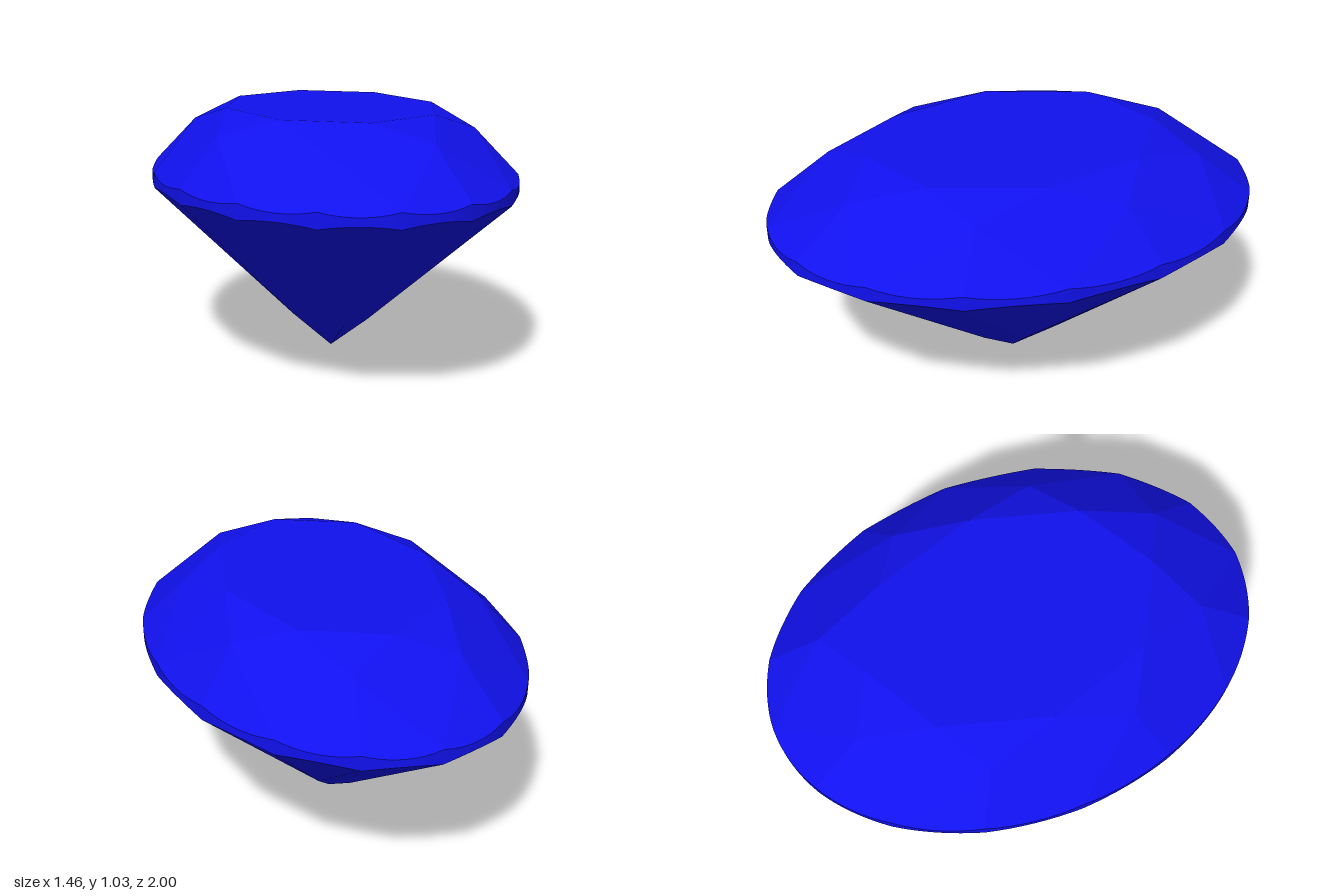
import * as THREE from 'three';

const WIDTH = 0.732;           // x squash of the oval outline
const STEP = Math.PI / 8;      // angle between neighbouring facet corners
const ARC = 8;                 // girdle segments per step
const TABLE = { r: 0.595, y: 1.03 };
const STAR = { r: 0.77, y: 0.957 };
const LOWER = { r: 0.225, y: 0.149 };
const GIRDLE_TOP = 0.777, GIRDLE_BOTTOM = 0.715;

// Point on the oval: k counts facet steps from the front towards +x
const at = (k, r, y) => new THREE.Vector3(WIDTH * r * Math.sin(k * STEP), y, r * Math.cos(k * STEP));

// Girdle curve where a half facet's plane, through its tip, cuts the oval wall
function scallop(k, tip, y) {
  const plane = new THREE.Plane().setFromCoplanarPoints(tip, at(k, 1, y), at(k + 1, 1, y));
  const points = [];
  for (let i = 0; i <= ARC; i++) {
    const p = at(k + i / ARC, 1, 0);
    p.y = -(plane.normal.x * p.x + plane.normal.z * p.z + plane.constant) / plane.normal.y;
    points.push(p);
  }
  return points;
}

// Flat mesh from convex facets, each a counter-clockwise list of points
function facetMesh(name, facets, material) {
  const corners = [];
  for (const f of facets) {
    for (let i = 1; i < f.length - 1; i++) corners.push(f[0], f[i], f[i + 1]);
  }
  const geometry = new THREE.BufferGeometry().setFromPoints(corners);
  geometry.computeVertexNormals();
  const mesh = new THREE.Mesh(geometry, material);
  mesh.name = name;
  return mesh;
}

export function createModel() {
  const group = new THREE.Group();
  group.name = 'ovalGem';
  const faceted = new THREE.MeshStandardMaterial({ color: 0x1111ee, flatShading: true });
  const smooth = new THREE.MeshStandardMaterial({ color: 0x1111ee });

  const table = [], stars = [], bezels = [], upperHalves = [];
  const lowerHalves = [], mains = [], rim = [];
  const culet = new THREE.Vector3(0, 0, 0);

  // Table, star, bezel and pavilion main facets, eight of each
  for (let k = 0; k < 16; k += 2) {
    const corner = at(k, TABLE.r, TABLE.y);
    const star = at(k + 1, STAR.r, STAR.y);
    table.push(corner);
    stars.push([corner, star, at(k + 2, TABLE.r, TABLE.y)]);
    bezels.push([corner, at(k - 1, STAR.r, STAR.y), at(k, 1, GIRDLE_TOP), star]);
    mains.push([culet, at(k + 2, LOWER.r, LOWER.y), at(k + 1, 1, GIRDLE_BOTTOM), at(k, LOWER.r, LOWER.y)]);
  }

  // Half facets, sixteen above and below, with the scalloped girdle between
  for (let k = 0; k < 16; k++) {
    const upperTip = at(k % 2 ? k : k + 1, STAR.r, STAR.y);
    const lowerTip = at(k % 2 ? k + 1 : k, LOWER.r, LOWER.y);
    const top = scallop(k, upperTip, GIRDLE_TOP);
    const bottom = scallop(k, lowerTip, GIRDLE_BOTTOM);
    upperHalves.push([upperTip, ...top]);
    lowerHalves.push([lowerTip, ...bottom.slice().reverse()]);
    for (let i = 0; i < ARC; i++) rim.push([bottom[i], bottom[i + 1], top[i + 1], top[i]]);
  }

  // Girdle wall is rounded: normals follow the ellipse
  const girdle = facetMesh('girdle', rim, smooth);
  const { position, normal } = girdle.geometry.attributes;
  const n = new THREE.Vector3();
  for (let i = 0; i < position.count; i++) {
    n.set(position.getX(i) / WIDTH ** 2, 0, position.getZ(i)).normalize();
    normal.setXYZ(i, n.x, n.y, n.z);
  }

  group.add(
    facetMesh('table', [table], faceted),
    facetMesh('starFacets', stars, faceted),
    facetMesh('bezelFacets', bezels, faceted),
    facetMesh('upperHalfFacets', upperHalves, faceted),
    girdle,
    facetMesh('lowerHalfFacets', lowerHalves, faceted),
    facetMesh('pavilionMainFacets', mains, faceted)
  );
  return group;
}
